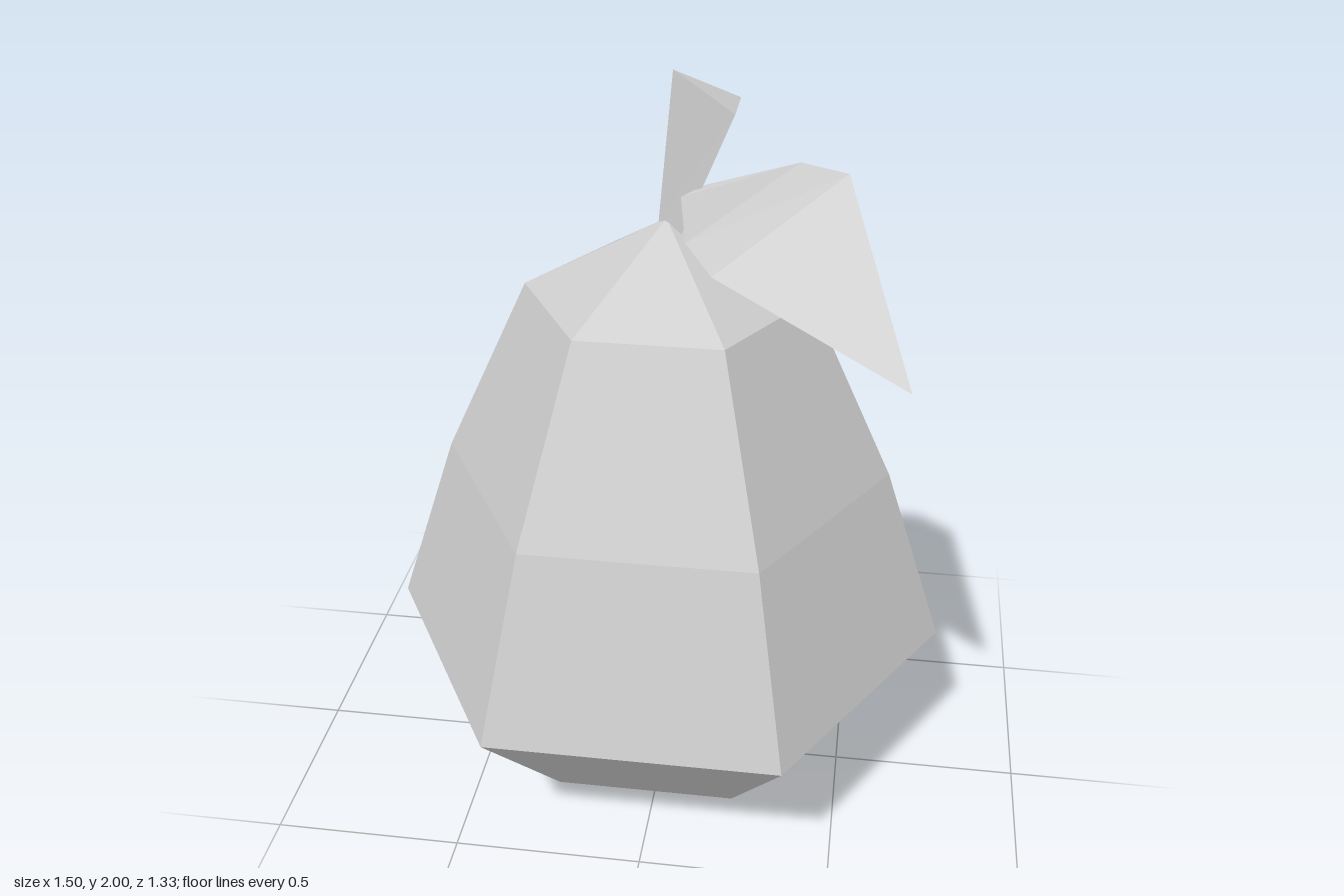
import * as THREE from 'three';

const grey = new THREE.MeshStandardMaterial({ color: 0xcccccc, flatShading: true, side: THREE.DoubleSide });
grey.name = 'light grey';

// Faceted mesh from corner points and polygons, each fanned into triangles
function facets(name, points, polygons) {
  const positions = [];
  for (const p of polygons) {
    for (let i = 1; i < p.length - 1; i++) {
      positions.push(...points[p[0]], ...points[p[i]], ...points[p[i + 1]]);
    }
  }
  const geometry = new THREE.BufferGeometry();
  geometry.setAttribute('position', new THREE.Float32BufferAttribute(positions, 3));
  geometry.computeVertexNormals();
  const mesh = new THREE.Mesh(geometry, grey);
  mesh.name = name;
  return mesh;
}

export function createModel() {
  const model = new THREE.Group();
  model.name = 'pear';

  // Six-sided fruit body, corners on the x axis
  const profile = [[0, 0], [0.465, 0.15], [0.75, 0.46], [0.588, 0.95], [0.364, 1.435], [0, 1.63]]
    .map(([r, y]) => new THREE.Vector2(r, y));
  const body = new THREE.Mesh(new THREE.LatheGeometry(profile, 6, Math.PI / 2), grey);
  body.name = 'fruitBody';
  body.position.z = -0.017;
  model.add(body);

  // Three-sided stem, leaning and widening to a slanted top
  model.add(facets('stem', [
    [-0.02, 1.62, -0.017], [0.04, 1.6, 0.01], [0.04, 1.6, -0.043],
    [0.015, 2, -0.017], [0.17, 1.92, 0.05], [0.17, 1.92, -0.084],
  ], [[0, 1, 4, 3], [1, 2, 5, 4], [2, 0, 3, 5], [3, 4, 5], [2, 1, 0]]));

  // Folded leaf: two quads and a pointed tip
  model.add(facets('leaf', [
    [0.04, 1.7, 0.02], [0.09, 1.705, 0.32], [0.165, 1.685, 0.455], [0.61, 1.54, 0.665],
    [0.445, 1.85, 0.22], [0.33, 1.835, 0.115], [0.09, 1.73, 0.015],
  ], [[0, 1, 5, 6], [1, 2, 4, 5], [2, 3, 4]]));

  return model;
}
